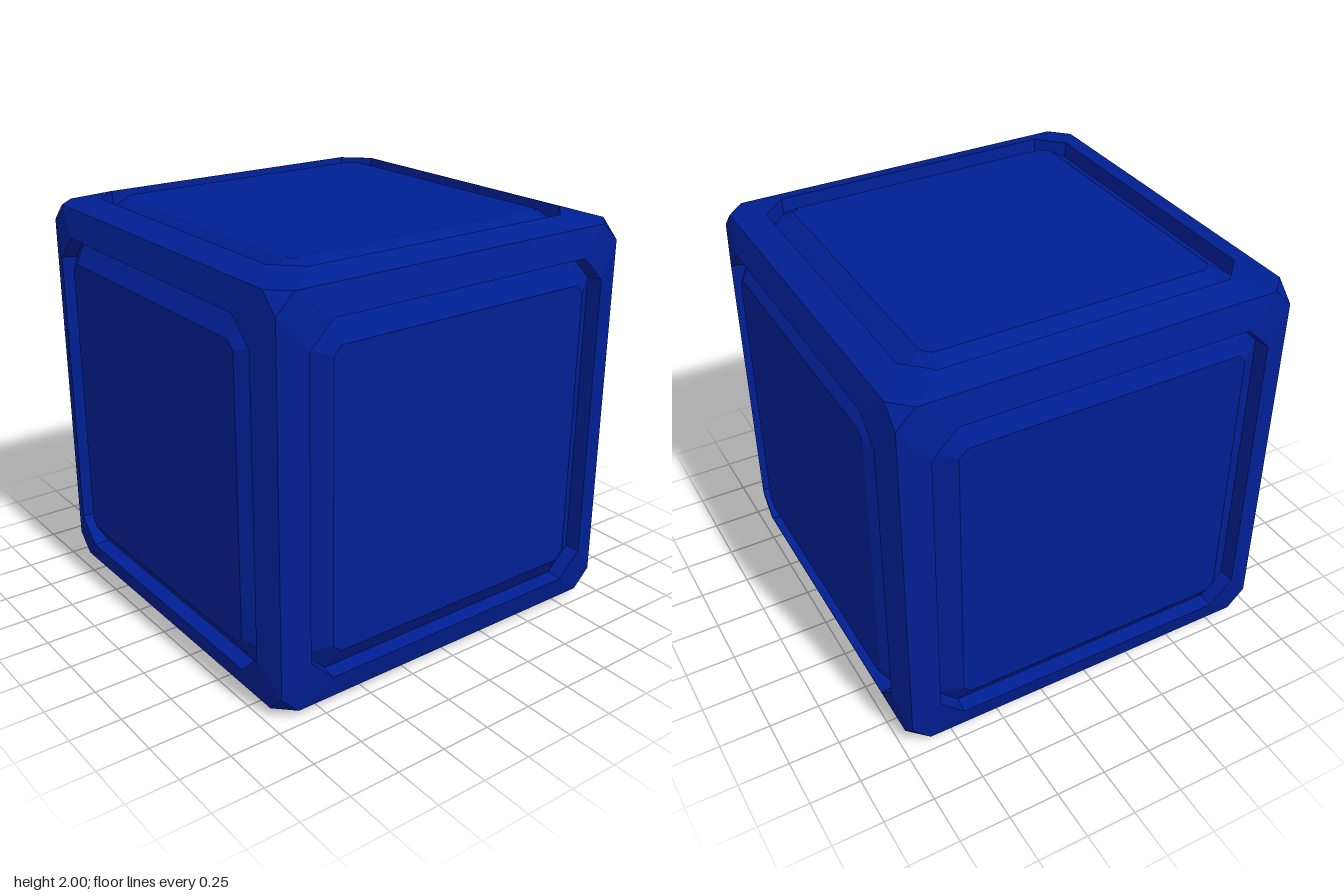
import * as THREE from 'three';

const material = new THREE.MeshStandardMaterial({ color: 0x001f93, flatShading: true });

// Octagon with straight sides at +-a, corners cut back to +-c, at height z
function octagon(a, c, z) {
  return [[a, -c], [a, c], [c, a], [-c, a], [-a, c], [-a, -c], [-c, -a], [c, -a]]
    .map(([x, y]) => [x, y, z]);
}

function meshFrom(name, positions) {
  const geometry = new THREE.BufferGeometry();
  geometry.setAttribute('position', new THREE.Float32BufferAttribute(positions, 3));
  geometry.computeVertexNormals();
  const mesh = new THREE.Mesh(geometry, material);
  mesh.name = name;
  return mesh;
}

// Joins successive octagons from outside to inside, optionally closing the last
function loft(name, rings, capped) {
  const p = [];
  for (let r = 0; r + 1 < rings.length; r++) {
    const o = rings[r], n = rings[r + 1];
    for (let i = 0; i < 8; i++) {
      const j = (i + 1) % 8;
      p.push(...o[i], ...o[j], ...n[j], ...o[i], ...n[j], ...n[i]);
    }
  }
  if (capped) {
    const last = rings[rings.length - 1];
    for (let i = 1; i < 7; i++) p.push(...last[0], ...last[i], ...last[i + 1]);
  }
  return meshFrom(name, p);
}

export function createModel() {
  const model = new THREE.Group();
  model.name = 'cube';
  const body = new THREE.Group();
  body.name = 'body';
  body.position.y = 1;
  model.add(body);

  // Cross-section of one side: outer edge, raised rim, groove floor, panel top level with the rim
  const edge = octagon(0.96, 0.87, 0.96);
  const rim = octagon(0.83, 0.71, 1);
  const groove = octagon(0.822, 0.706, 0.925);
  const panelTop = octagon(0.71, 0.67, 0.998);

  const sides = {
    front: [0, 0], left: [0, Math.PI / 2], back: [0, Math.PI], right: [0, -Math.PI / 2],
    top: [-Math.PI / 2, 0], bottom: [Math.PI / 2, 0],
  };
  for (const [name, [rx, ry]] of Object.entries(sides)) {
    const side = new THREE.Group();
    side.name = name + 'Side';
    side.rotation.set(rx, ry, 0);
    side.add(loft('frame', [edge, rim, groove], false), loft('panel', [groove, panelTop], true));
    body.add(side);
  }

  // Triangular facets on the eight corners
  const corners = [];
  for (const x of [-1, 1]) for (const y of [-1, 1]) for (const z of [-1, 1]) {
    const tri = [[0.87, 0.96, 0.96], [0.96, 0.87, 0.96], [0.96, 0.96, 0.87]]
      .map(v => [v[0] * x, v[1] * y, v[2] * z]);
    if (x * y * z < 0) tri.reverse();
    corners.push(...tri.flat());
  }
  body.add(meshFrom('corners', corners));
  return model;
}
